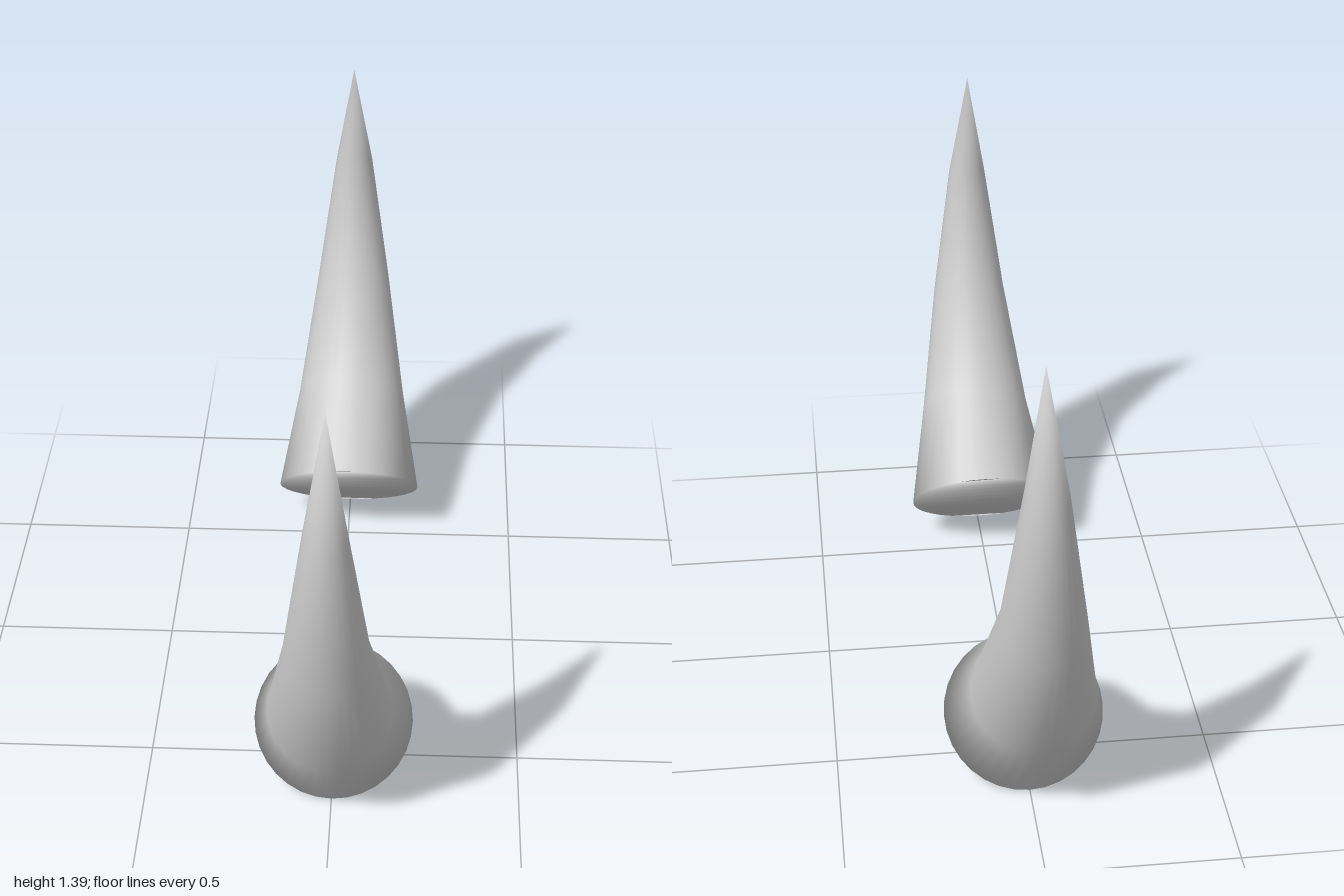
import * as THREE from 'three';

const SIDES = 32;

// Cross-sections from base to tip: [inner z, inner y, outer z, outer y, half width]
const SECTIONS = [
  [0.39, 0.317, 0.677, 0.005, 0.213],
  [0.63, 0.495, 0.85, 0.265, 0.16],
  [0.822, 0.777, 0.99, 0.635, 0.107],
  [0.88, 1.11, 1.0, 1.055, 0.0535],
];
const TIP = [0, 1.395, 0.895];

// A curved tapering horn with a closed base, smooth all over
function hornGeometry() {
  const positions = [];
  const index = [];
  for (const [iz, iy, oz, oy, halfWidth] of SECTIONS) {
    for (let j = 0; j < SIDES; j++) {
      const t = (j / SIDES) * Math.PI * 2;
      const k = (1 + Math.cos(t)) / 2; // 0 at the inner edge, 1 at the outer
      positions.push(Math.sin(t) * halfWidth, iy + (oy - iy) * k, iz + (oz - iz) * k);
    }
  }
  const tip = positions.length / 3;
  positions.push(...TIP);

  // Side walls and pointed tip
  for (let i = 0; i < SECTIONS.length; i++) {
    for (let j = 0; j < SIDES; j++) {
      const a = i * SIDES + j;
      const b = i * SIDES + ((j + 1) % SIDES);
      if (i === SECTIONS.length - 1) index.push(a, b, tip);
      else index.push(a, b, b + SIDES, a, b + SIDES, a + SIDES);
    }
  }

  // Flat base, filled as a zigzag strip
  for (let lo = 0, hi = SIDES - 1; lo + 1 < hi; lo++, hi--) {
    index.push(hi, lo + 1, lo);
    if (lo + 1 < hi - 1) index.push(hi, hi - 1, lo + 1);
  }

  const geometry = new THREE.BufferGeometry();
  geometry.setAttribute('position', new THREE.Float32BufferAttribute(positions, 3));
  geometry.setIndex(index);
  geometry.computeVertexNormals();
  return geometry;
}

export function createModel() {
  const group = new THREE.Group();
  group.name = 'hornPair';
  const geometry = hornGeometry();
  const material = new THREE.MeshStandardMaterial({ color: 0xcccccc });

  // The same horn at the front and, turned around, at the back
  ['frontHorn', 'backHorn'].forEach((name, i) => {
    const horn = new THREE.Mesh(geometry, material);
    horn.name = name;
    horn.rotation.y = i * Math.PI;
    group.add(horn);
  });
  return group;
}
